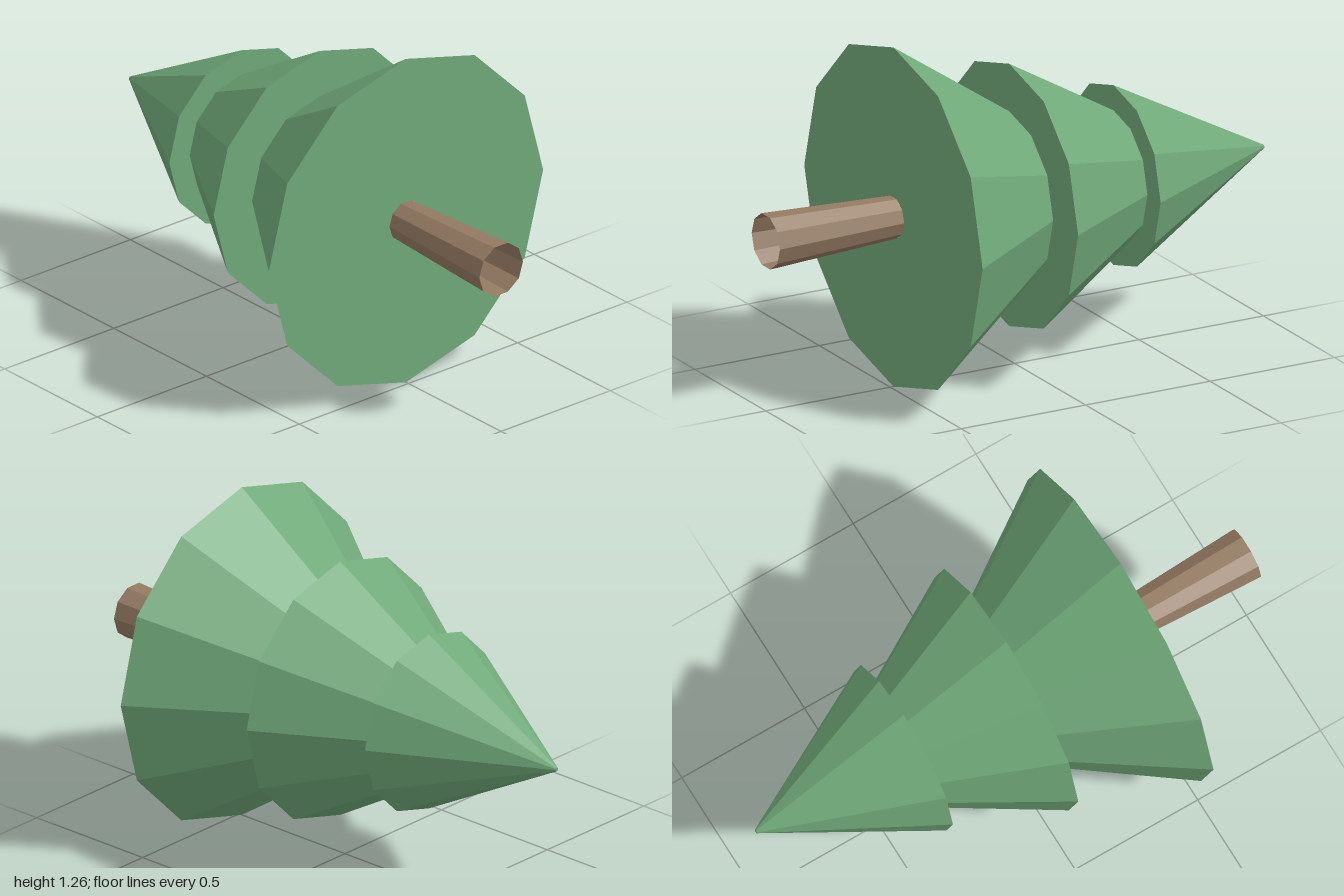
import * as THREE from 'three';

// Revolve a [radius, height] profile with flat facets, then lay its axis along -z
function facetedLathe(profile, sides, phiStart = 0) {
  const points = profile.map(([r, h]) => new THREE.Vector2(r, h));
  const geometry = new THREE.LatheGeometry(points, sides, phiStart).toNonIndexed();
  geometry.rotateX(-Math.PI / 2);
  geometry.computeVertexNormals();
  return geometry;
}

export function createModel() {
  const foliage = new THREE.MeshStandardMaterial({ color: 0x70a979 });
  foliage.name = 'foliage green';
  const bark = new THREE.MeshStandardMaterial({ color: 0x947a62, side: THREE.DoubleSide });
  bark.name = 'bark brown';

  const tree = new THREE.Group();
  tree.name = 'tree';
  tree.position.y = 0.628;

  function add(name, geometry, material) {
    const mesh = new THREE.Mesh(geometry, material);
    mesh.name = name;
    tree.add(mesh);
  }

  // Foliage tiers: underside ring out to the rim, then the sloping skirt
  const tiers = {
    lowerFoliage: [[0.074, -0.487], [0.628, -0.487], [0.31, -0.022]],
    middleFoliage: [[0.31, -0.022], [0.486, -0.022], [0.24, 0.397]],
    upperFoliage: [[0.24, 0.397], [0.333, 0.397], [0.007, 1], [0, 1]],
  };
  for (const [name, profile] of Object.entries(tiers)) {
    add(name, facetedLathe(profile, 12), foliage);
  }

  // Hollow tapered trunk, open at the end
  add('trunk', facetedLathe([[0.1, -1], [0.076, -0.487]], 10, Math.PI / 2), bark);

  const model = new THREE.Group();
  model.add(tree);
  return model;
}
